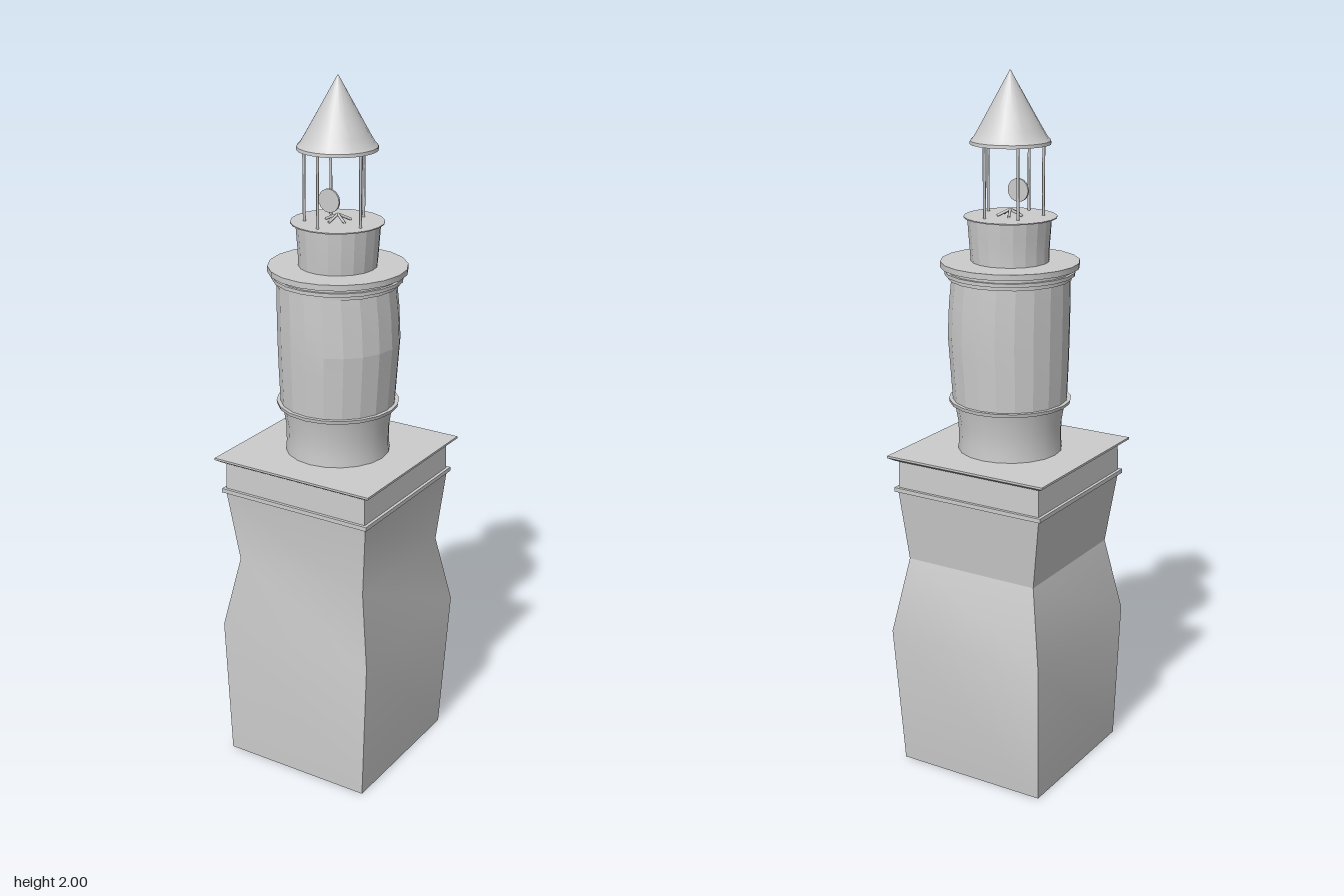
import * as THREE from 'three';
import { toCreasedNormals } from 'three/addons/utils/BufferGeometryUtils.js';

const material = new THREE.MeshStandardMaterial({ color: 0xcccccc, side: THREE.DoubleSide });

// Closed loft through rings [y, radiusX, radiusZ, centreX, centreZ].
function loft(rings, sides, crease, turn = 0) {
  const pos = [], index = [];
  const last = rings.length - 1;
  for (const [y, rx, rz = rx, cx = 0, cz = 0] of rings) {
    for (let j = 0; j < sides; j++) {
      const a = turn + (j / sides) * Math.PI * 2;
      pos.push(cx + rx * Math.cos(a), y, cz + rz * Math.sin(a));
    }
  }
  const bottom = pos.length / 3, top = bottom + 1;
  for (const [y, , , cx = 0, cz = 0] of [rings[0], rings[last]]) pos.push(cx, y, cz);
  for (let j = 0; j < sides; j++) {
    const k = (j + 1) % sides;
    for (let i = 0; i < last; i++) {
      const a = i * sides + j, b = i * sides + k;
      index.push(a, a + sides, b + sides, a, b + sides, b);
    }
    index.push(bottom, j, k, top, last * sides + k, last * sides + j);
  }
  const geo = new THREE.BufferGeometry();
  geo.setAttribute('position', new THREE.Float32BufferAttribute(pos, 3));
  geo.setIndex(index);
  return toCreasedNormals(geo, crease);
}

// Square loft from extents [y, xMin, xMax, zMin, zMax].
function squareLoft(levels) {
  const s = Math.SQRT1_2;
  const rings = levels.map(([y, x0, x1, z0, z1]) =>
    [y, (x1 - x0) * s, (z1 - z0) * s, (x0 + x1) / 2, (z0 + z1) / 2]);
  return loft(rings, 4, 0.35, Math.PI / 4);
}
const slab = (y, half) => [y, -half, half, -half, half];
const round = (rings, crease = 0.5) => loft(rings, 20, crease);

// Thin rod between two points.
function rod(a, b, radius) {
  const path = new THREE.LineCurve3(new THREE.Vector3(...a), new THREE.Vector3(...b));
  return new THREE.TubeGeometry(path, 1, radius, 6);
}

export function createModel() {
  const model = new THREE.Group();
  const add = (name, geo, parent = model) => {
    const mesh = new THREE.Mesh(geo, material);
    mesh.name = name;
    parent.add(mesh);
    return mesh;
  };

  // Uneven square shaft
  add('squareShaft', squareLoft([
    [0, -0.228, 0.228, -0.222, 0.233],
    [0.42, -0.244, 0.243, -0.254, 0.238],
    [0.635, -0.197, 0.213, -0.202, 0.212],
    [0.845, -0.227, 0.231, -0.226, 0.23],
  ]));
  add('shaftMoulding', squareLoft([slab(0.845, 0.237), slab(0.857, 0.237)]));
  add('shaftHead', squareLoft([slab(0.857, 0.228), slab(0.938, 0.226)]));
  add('terrace', squareLoft([slab(0.936, 0.234), slab(0.946, 0.25), slab(0.952, 0.25)]));

  // Round middle tower
  add('neck', round([
    [0.95, 0.147], [0.98, 0.145], [1.03, 0.146, 0.145], [1.09, 0.156],
  ]));
  add('lowerBand', round([[1.09, 0.17], [1.1, 0.172]]));
  add('drum', round([
    [1.1, 0.161], [1.19, 0.166, 0.165, 0.002, 0.001], [1.28, 0.17, 0.17, 0.005, 0.002],
    [1.37, 0.168, 0.169, 0.002, 0.002], [1.45, 0.163, 0.167, -0.002, 0.003],
  ], 0.1));
  add('upperBand', round([[1.442, 0.171], [1.452, 0.171], [1.453, 0.18], [1.463, 0.18]]));
  add('galleryNeck', round([[1.463, 0.172], [1.475, 0.172]]));
  add('gallery', round([[1.474, 0.192], [1.49, 0.192]]));

  // Lantern base and floor
  add('lanternBase', round([
    [1.49, 0.108], [1.53, 0.11, 0.11, 0.002, 0.001], [1.57, 0.113, 0.113, 0.002, 0.001],
    [1.61, 0.116, 0.115, 0.002, 0.001],
  ], 0.1));
  add('lanternFloor', round([[1.609, 0.128, 0.128, 0, 0.002], [1.612, 0.128, 0.128, 0, 0.002]]));

  // Five roof posts
  const posts = new THREE.Group();
  posts.name = 'roofPosts';
  for (const [x, z] of [[0.09, 0.032], [0, 0.1], [-0.075, 0.05], [-0.053, -0.048], [0.037, -0.072]]) {
    add('post', rod([x, 1.61, z], [x, 1.815, z], 0.004), posts);
  }
  model.add(posts);

  // Fire stand: sticks leaning together
  const stand = new THREE.Group();
  stand.name = 'fireStand';
  for (let i = 0; i < 5; i++) {
    const a = 0.5 + (i / 5) * Math.PI * 2;
    add('stick', rod([0.036 * Math.cos(a), 1.614, 0.036 * Math.sin(a)], [0, 1.63, 0], 0.004), stand);
  }
  model.add(stand);

  // Round reflector disc
  const disc = new THREE.CylinderGeometry(0.032, 0.032, 0.006, 20);
  disc.rotateX(Math.PI / 2).translate(0, 1.676, 0.043);
  add('reflector', toCreasedNormals(disc, 0.5));

  // Flared conical roof
  add('roof', round([
    [1.806, 0.11, 0.11, 0, 0.002], [1.815, 0.109, 0.109, 0, 0.002],
    [1.825, 0.1, 0.1, 0, 0.002], [1.845, 0.088, 0.088, 0, 0.002],
    [1.9, 0.057, 0.057, 0, 0.001], [2, 0.001],
  ]));

  return model;
}
